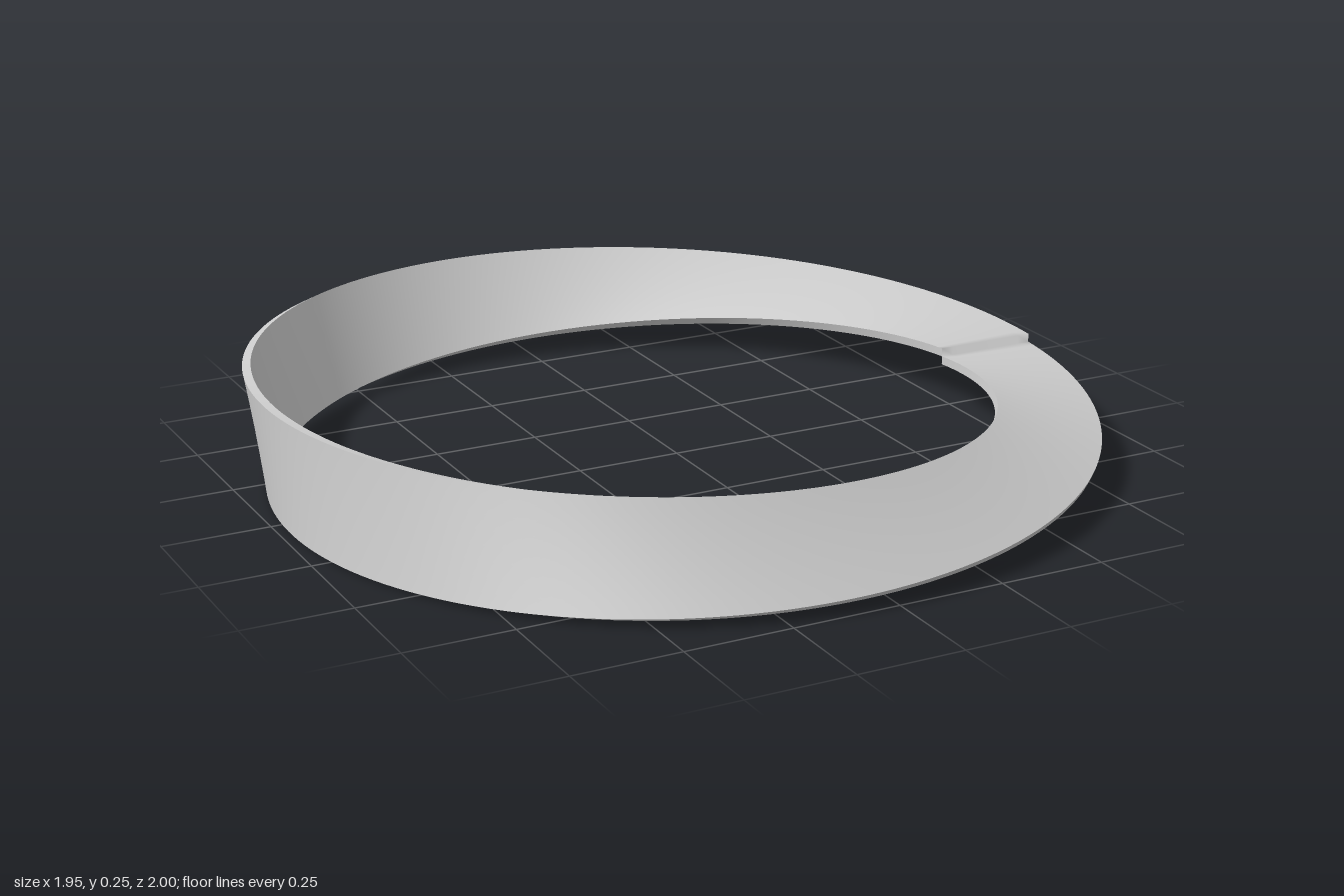
import * as THREE from 'three';

const RADIUS = 0.9125;    // centre circle of the band
const CENTRE_X = -0.0625;
const MID_Y = 0.125;
const HALF = 0.125;       // half of the band width
const THICK = 0.02;
const SEGMENTS = 256;     // per lap

// Point on the band: angle round the ring, s across the width, n through the thickness.
// The cross-section turns half a turn per lap.
function bandPoint(angle, s, n) {
  const c = Math.cos(angle / 2), d = Math.sin(angle / 2);
  const r = RADIUS + s * c - n * d;
  return [CENTRE_X + r * Math.cos(angle), MID_Y - s * d - n * c, r * Math.sin(angle)];
}

// Smooth skin over rings of equal point count, optionally joined end to start
function skin(rings, closed) {
  const cols = rings[0].length, index = [];
  const last = closed ? rings.length : rings.length - 1;
  for (let i = 0; i < last; i++) {
    const j = (i + 1) % rings.length;
    for (let k = 0; k < cols - 1; k++) {
      const a = i * cols + k, b = j * cols + k;
      index.push(a, a + 1, b, a + 1, b + 1, b);
    }
  }
  const geometry = new THREE.BufferGeometry();
  geometry.setAttribute('position', new THREE.Float32BufferAttribute(rings.flat(2), 3));
  geometry.setIndex(index);
  geometry.computeVertexNormals();
  return geometry;
}

export function createModel() {
  const group = new THREE.Group();
  group.name = 'twistedBand';
  const material = new THREE.MeshStandardMaterial({ color: 0xcccccc });
  const add = (name, geometry) => {
    const mesh = new THREE.Mesh(geometry, material);
    mesh.name = name;
    group.add(mesh);
  };

  // Broad face: one surface running two laps, with a small step at each seam
  const faceRings = [];
  const across = 8;
  for (let lap = 0; lap < 2; lap++) {
    for (let i = 0; i <= SEGMENTS; i++) {
      const angle = (lap + i / SEGMENTS) * Math.PI * 2;
      const ring = [];
      for (let k = 0; k <= across; k++) {
        ring.push(bandPoint(angle, HALF * (1 - 2 * k / across), lap ? -THICK : 0));
      }
      faceRings.push(ring);
    }
  }
  add('bandFace', skin(faceRings, true));

  // Narrow rims along both edges of the band
  for (const side of [1, -1]) {
    const rings = [];
    for (let i = 0; i <= SEGMENTS; i++) {
      const angle = i / SEGMENTS * Math.PI * 2;
      const pair = [bandPoint(angle, side * HALF, THICK), bandPoint(angle, side * HALF, 0)];
      rings.push(side > 0 ? pair : pair.reverse());
    }
    add(side > 0 ? 'firstRim' : 'secondRim', skin(rings, false));
  }

  return group;
}
